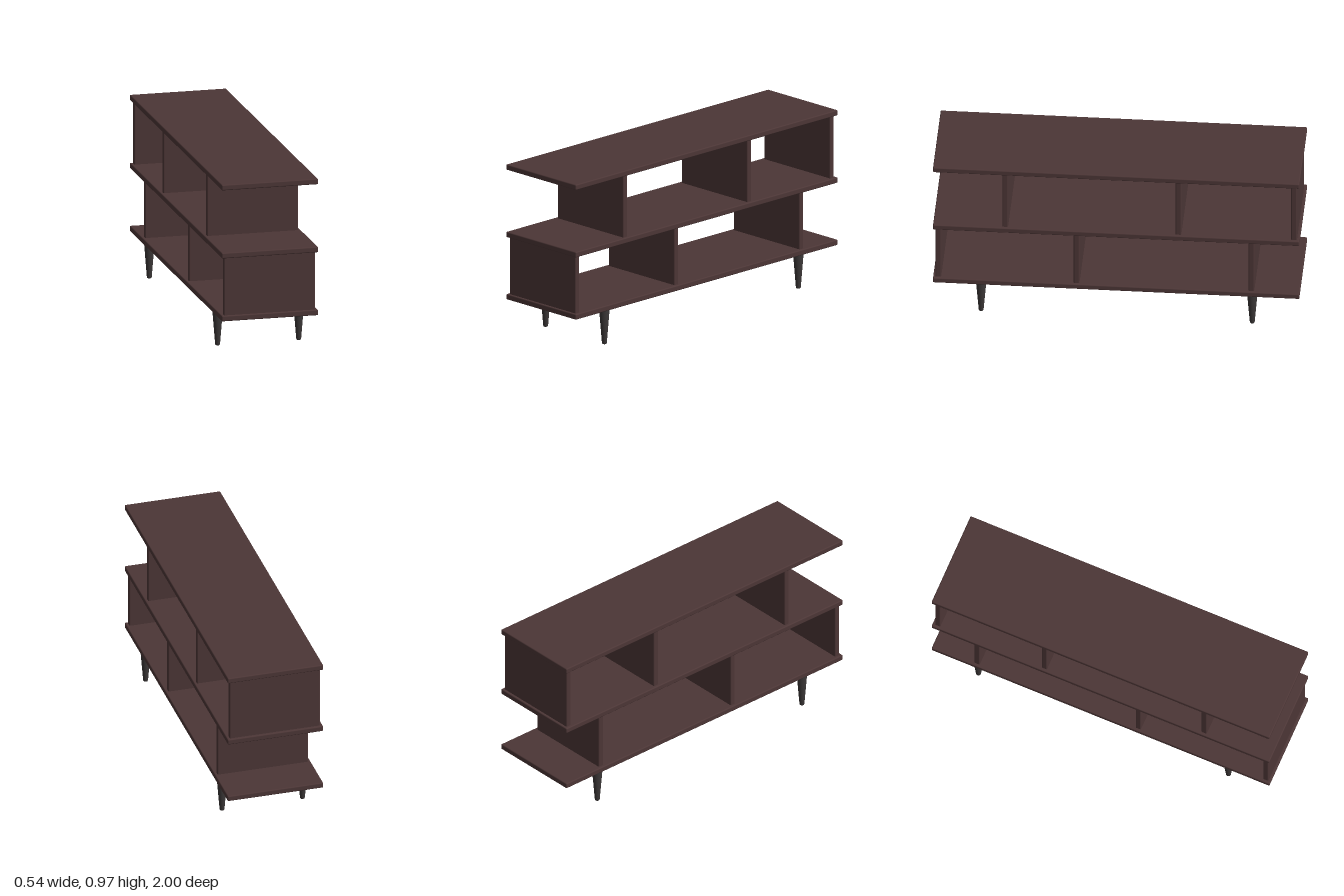
import * as THREE from 'three';
import { RoundedBoxGeometry } from 'three/addons/geometries/RoundedBoxGeometry.js';

export function createModel() {
  const model = new THREE.Group();
  model.name = 'shelfUnit';
  const wood = new THREE.MeshStandardMaterial({ name: 'dark wood', color: 0x4c3636 });
  const legPaint = new THREE.MeshStandardMaterial({ name: 'charcoal leg', color: 0x3a3636 });

  // Softly rounded plank spanning y0..y1, centred on x
  function plank(name, width, y0, y1, depth, z) {
    const mesh = new THREE.Mesh(new RoundedBoxGeometry(width, y1 - y0, depth, 3, 0.006), wood);
    mesh.name = name;
    mesh.position.set(0, (y0 + y1) / 2, z);
    model.add(mesh);
  }

  // Three long shelves
  plank('bottomShelf', 0.542, 0.2, 0.231, 2, 0);
  plank('middleShelf', 0.542, 0.554, 0.585, 2, 0);
  plank('topShelf', 0.542, 0.937, 0.968, 2, 0);

  // Staggered upright panels, sunk slightly into the shelves
  for (const z of [0.972, 0.217, -0.737]) plank('lowerDivider', 0.512, 0.225, 0.56, 0.032, z);
  for (const z of [0.607, -0.339, -0.97]) plank('upperDivider', 0.512, 0.579, 0.943, 0.032, z);

  // Tapered round legs with a softened foot
  const profile = [[0, 0], [0.009, 0], [0.012, 0.002], [0.0135, 0.006], [0.029, 0.2], [0, 0.2]]
    .map(([r, y]) => new THREE.Vector2(r, y));
  const legGeometry = new THREE.LatheGeometry(profile, 32);
  for (const x of [-0.228, 0.228]) {
    for (const z of [0.74, -0.74]) {
      const leg = new THREE.Mesh(legGeometry, legPaint);
      leg.name = 'leg';
      leg.position.set(x, 0, z);
      model.add(leg);
    }
  }
  return model;
}
